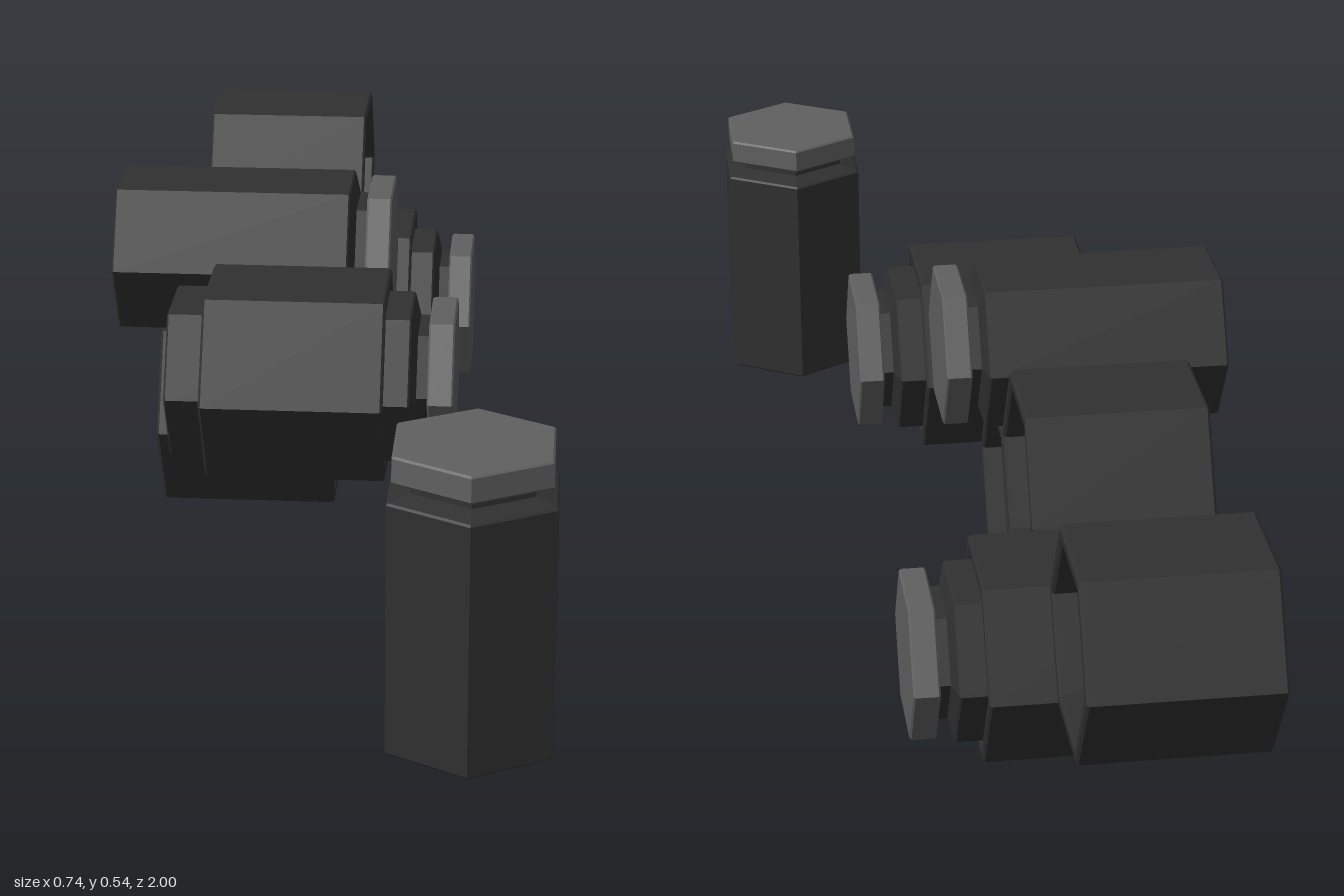
import * as THREE from 'three';

const SIDES = 6;
const FLAT = Math.cos(Math.PI / SIDES); // apothem / corner radius
const SLEEVE_FLAT = 0.149;              // sleeve centre to flat side
const SLEEVE_R = SLEEVE_FLAT / FLAT;
const SLEEVE_LENGTH = 0.287;

const dark = new THREE.MeshStandardMaterial({ color: 0x303030, flatShading: true });
const grey = new THREE.MeshStandardMaterial({ color: 0x606060, flatShading: true });

// Hexagonal solid from [distance to flat side, height] pairs, bottom to top
function hexSolid(name, profile, material) {
  const points = profile.map(([a, y]) => new THREE.Vector2(a / FLAT, y));
  const mesh = new THREE.Mesh(new THREE.LatheGeometry(points, SIDES), material);
  mesh.name = name;
  return mesh;
}

// Jar standing on y = 0: bevelled body, narrow neck and hexagonal cap
function makeJar(name) {
  const jar = new THREE.Group();
  jar.name = name;
  jar.add(
    hexSolid('jarBody', [
      [0, 0], [0.116, 0], [0.119, 0.003], [0.119, 0.382],
      [0.116, 0.385], [0.087, 0.394], [0.086, 0.413], [0, 0.413],
    ], dark),
    hexSolid('jarCap', [
      [0, 0.412], [0.109, 0.412], [0.112, 0.415],
      [0.112, 0.45], [0.109, 0.453], [0, 0.453],
    ], grey),
  );
  return jar;
}

// Open hexagonal tube with slightly bevelled rims
function makeSleeve() {
  const o = SLEEVE_FLAT, i = 0.128, l = SLEEVE_LENGTH, b = 0.004;
  return hexSolid('sleeve', [
    [i + b, 0], [o - b, 0], [o, b], [o, l - b], [o - b, l],
    [i + b, l], [i, l - b], [i, b], [i + b, 0],
  ], dark);
}

// Lay a part down so that its height axis runs along +x
function layDown(part, x, y, z) {
  part.rotation.z = -Math.PI / 2;
  part.position.set(x, y, z);
  return part;
}

export function createModel() {
  const model = new THREE.Group();
  model.name = 'hexagonalJarRack';

  // Zigzag honeycomb row of sleeves, back to front; some hold a jar
  for (let n = 0; n < 5; n++) {
    const z = -1 + SLEEVE_R * (1 + 1.5 * n);
    const y = SLEEVE_FLAT * (n % 2 === 0 ? 2 : 1) + 0.003;
    const filled = n === 1 || n === 4;
    model.add(layDown(makeSleeve(), filled ? -0.197 : -0.297, y, z));
    if (filled) model.add(layDown(makeJar('storedJar'), -0.255, y - 0.002, z));
  }

  // Loose jar resting in the notch above the row
  model.add(layDown(makeJar('restingJar'), -0.37, 0.42, -1 + SLEEVE_R * 5.5));

  // Separate upright jar in front
  const upright = makeJar('uprightJar');
  upright.position.set(0.249, 0.002, 0.862);
  model.add(upright);

  return model;
}
